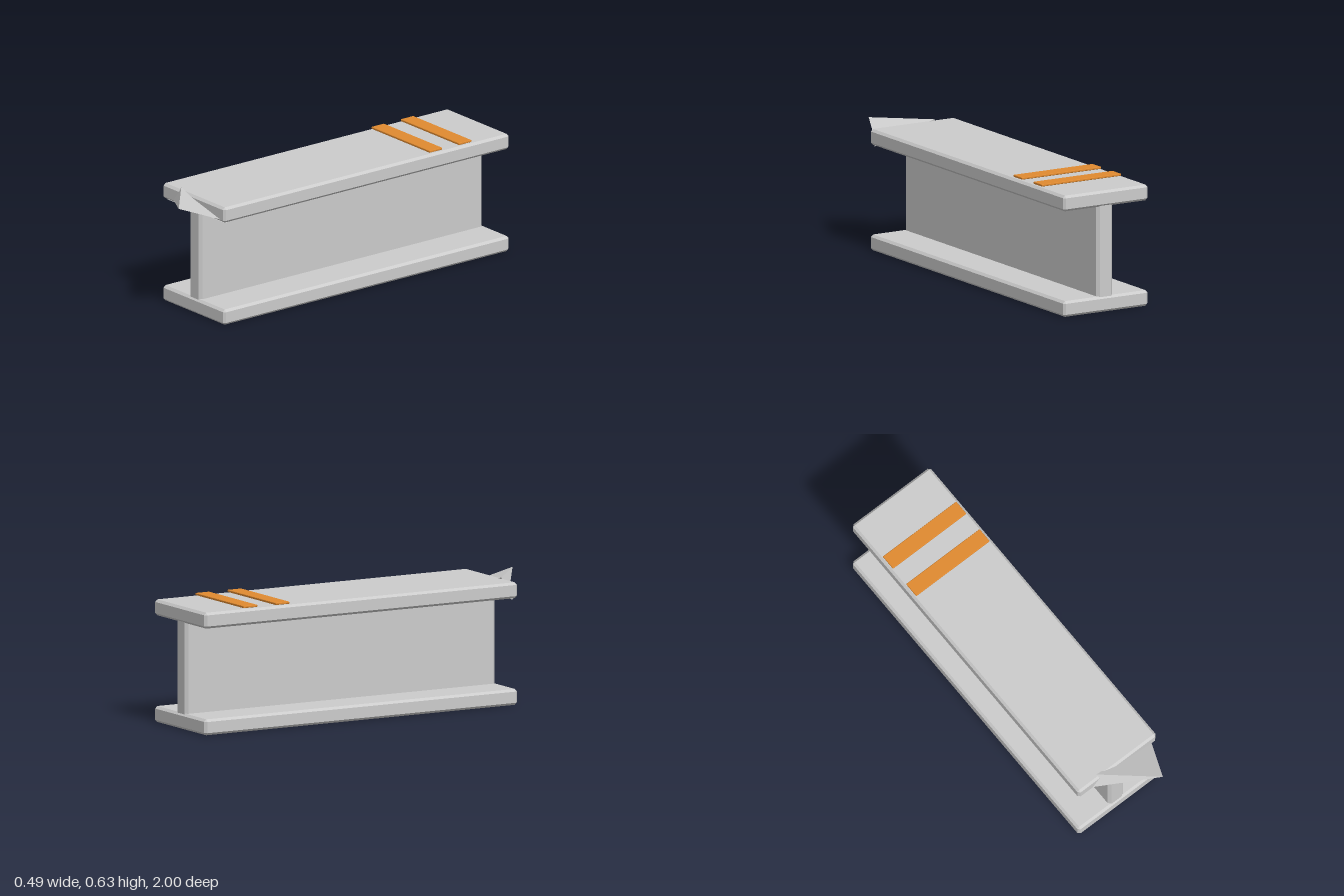
import * as THREE from 'three';
import { ConvexGeometry } from 'three/addons/geometries/ConvexGeometry.js';

const steel = new THREE.MeshStandardMaterial({ color: 0xcccccc, flatShading: true });
const paint = new THREE.MeshStandardMaterial({ color: 0xe08a30, flatShading: true });

// Convex solid through a few corner points
function hull(name, corners, material) {
  const points = corners.map((c) => new THREE.Vector3(...c));
  const mesh = new THREE.Mesh(new ConvexGeometry(points), material);
  mesh.name = name;
  return mesh;
}

// Box between two corners with every edge chamfered by c
function chamferBox(name, min, max, c, material) {
  const corners = [];
  for (let i = 0; i < 8; i++) {
    const high = [i & 1, i & 2, i & 4];
    // three points per corner, each staying on one of the outer faces
    for (let face = 0; face < 3; face++) {
      corners.push(high.map((h, k) => {
        const inset = k === face ? 0 : c;
        return h ? max[k] - inset : min[k] + inset;
      }));
    }
  }
  return hull(name, corners, material);
}

export function createModel() {
  const model = new THREE.Group();
  model.name = 'steelBeam';
  const back = -1, front = 0.805;

  // I-section: two flanges joined by a web
  model.add(chamferBox('bottomFlange', [-0.247, 0, back], [0.247, 0.08, front], 0.012, steel));
  model.add(chamferBox('topFlange', [-0.247, 0.535, back], [0.247, 0.615, front], 0.012, steel));
  model.add(chamferBox('web', [-0.047, 0.055, back + 0.008], [0.047, 0.558, front - 0.008], 0.014, steel));

  // Torn metal at the front end: a pointed shard and a thin lip under the flange
  model.add(hull('tornShard', [
    [0.13, 0.623, 1.0],
    [-0.12, 0.623, 0.785],
    [-0.18, 0.543, 0.79],
    [0.22, 0.543, 0.79],
  ], steel));
  model.add(hull('tornLip', [
    [-0.235, 0.529, 0.78], [0.235, 0.529, 0.78],
    [-0.215, 0.537, 0.8], [0.215, 0.537, 0.8],
    [-0.215, 0.537, 0.765], [0.215, 0.537, 0.765],
  ], steel));

  // Painted bands across the top near the back
  const bands = new THREE.Group();
  bands.name = 'paintedBands';
  for (const z of [-0.73, -0.545]) {
    bands.add(chamferBox('band', [-0.232, 0.618, z - 0.04], [0.232, 0.629, z + 0.04], 0.002, paint));
  }
  model.add(bands);
  return model;
}
